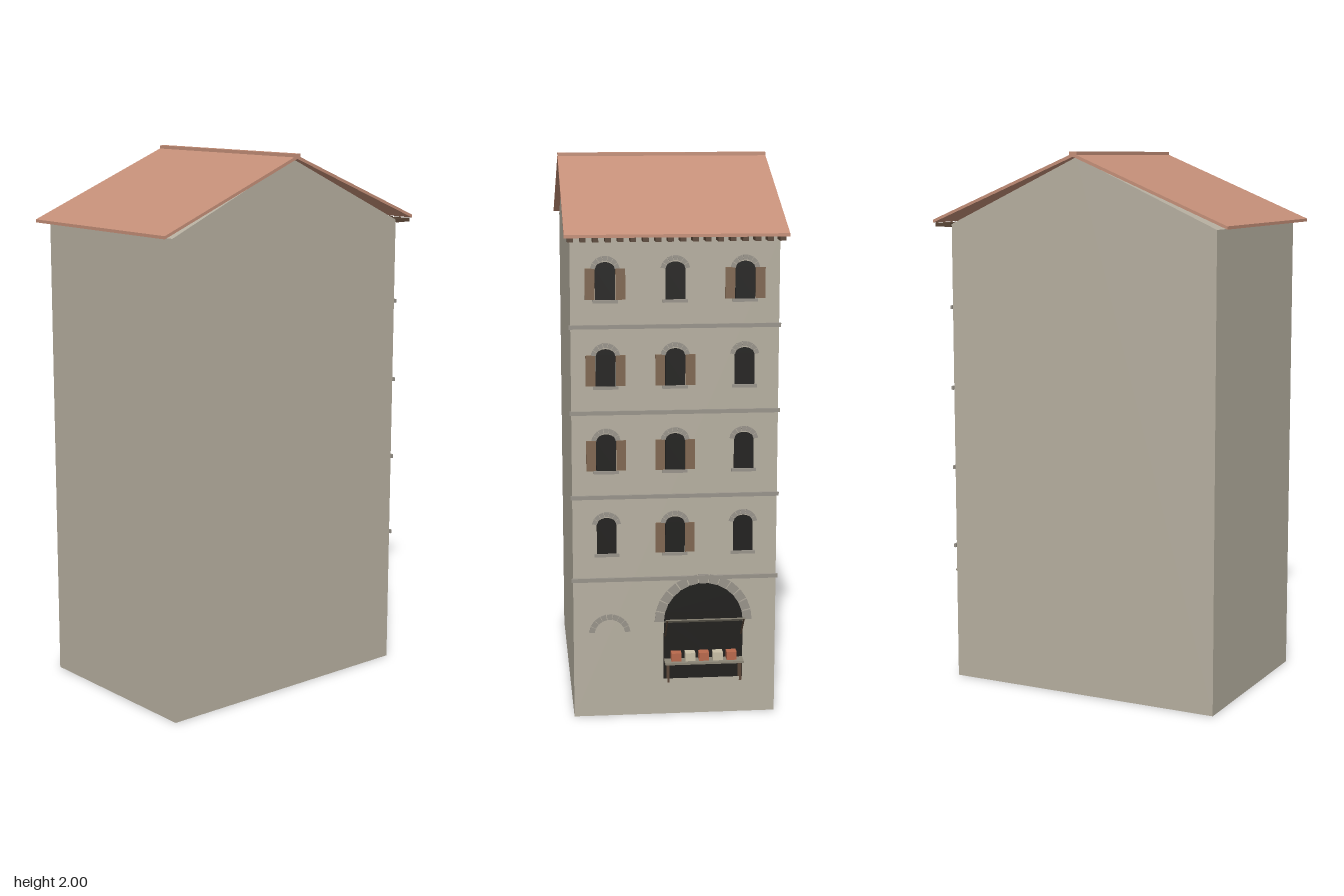
import * as THREE from 'three';

const mat = (name, color, side = THREE.FrontSide) => {
  const m = new THREE.MeshStandardMaterial({ color, side });
  m.name = name;
  return m;
};

export function createModel() {
  const wall = mat('plaster', 0xb6afa0);
  const stone = mat('stone trim', 0x98938a);
  const tile = mat('roof tile', 0xc48f78);
  const dark = mat('dark opening', 0x1f1e1c);
  const wood = mat('shutter wood', 0x7f6650);
  const beam = mat('beam wood', 0x5a4637);
  const board = mat('weathered board', 0x8d8778);
  const goodsRed = mat('terracotta goods', 0xb8694c);
  const goodsPale = mat('pale goods', 0xc9bfa6);

  const model = new THREE.Group();
  model.name = 'townHouse';
  const BACK = -0.515, FRONT = 0.555, HALF = 0.365, RIDGE = 0.008;

  const add = (name, geo, material, x = 0, y = 0, z = 0, parent = model) => {
    const m = new THREE.Mesh(geo, material);
    m.name = name;
    m.position.set(x, y, z);
    parent.add(m);
    return m;
  };
  // box with y as its bottom, standing out of the facade by depth d
  const onFacade = (name, material, x, y, w, h, d, parent) =>
    add(name, new THREE.BoxGeometry(w, h, d), material, x, y + h / 2, BACK - d / 2, parent);
  // flat shape standing out of the facade
  const plate = (name, shape, material, x, y, d, parent) =>
    add(name, new THREE.ExtrudeGeometry(shape, { depth: d, bevelEnabled: false, curveSegments: 12 }),
      material, x, y, BACK - d, parent);
  // prism with a (z, y) outline, running along x
  const prism = (name, pts, x0, x1, material, parent) => {
    const s = new THREE.Shape(pts.map(([z, y]) => new THREE.Vector2(-z, y)));
    const m = add(name, new THREE.ExtrudeGeometry(s, { depth: x1 - x0, bevelEnabled: false }),
      material, x0, 0, 0, parent);
    m.rotation.y = Math.PI / 2;
    return m;
  };
  // ring of separate wedge stones
  const stoneArch = (name, x, y, rIn, rOut, count, d, a0, a1, parent) => {
    const g = new THREE.Group();
    g.name = name;
    parent.add(g);
    const step = (a1 - a0) / count;
    for (let i = 0; i < count; i++) {
      const s = a0 + step * (i + 0.06), e = a0 + step * (i + 0.94);
      const shape = new THREE.Shape([[rIn, s], [rOut, s], [rOut, e], [rIn, e]]
        .map(([r, a]) => new THREE.Vector2(r * Math.cos(a), r * Math.sin(a))));
      plate('archStone', shape, stone, x, y, d, g);
    }
  };
  // opening with a curved head
  const archShape = (hw, h, rise) => {
    const s = new THREE.Shape();
    s.moveTo(-hw, 0);
    s.lineTo(hw, 0);
    s.lineTo(hw, h);
    s.absellipse(0, h, hw, rise, 0, Math.PI, false);
    s.lineTo(-hw, 0);
    return s;
  };

  // gabled body
  prism('walls', [[FRONT, 0], [BACK, 0], [BACK, 1.735], [RIDGE, 1.98], [FRONT, 1.735]], -HALF, HALF, wall);

  // roof slopes and ridge cap
  for (const [name, z, y] of [['frontRoofSlope', 0.603, 1.738], ['backRoofSlope', -0.582, 1.74]]) {
    prism(name, [[RIDGE, 1.982], [z, y], [z, y + 0.011], [RIDGE, 1.994]], -0.388, 0.386, tile);
  }
  add('ridgeCap', new THREE.BoxGeometry(0.774, 0.016, 0.03), tile, -0.001, 1.992, RIDGE);

  // rafter ends below the back eave
  const rafters = new THREE.Group();
  rafters.name = 'rafterEnds';
  model.add(rafters);
  for (let i = 0; i < 18; i++) {
    onFacade('rafterEnd', beam, -0.365 + i * 0.73 / 17, 1.725, 0.02, 0.014, 0.064, rafters);
  }

  // string courses
  for (let i = 0; i < 4; i++) {
    onFacade('stringCourse', stone, 0, 0.507 + i * 0.304, 0.742, 0.014, 0.008);
  }

  // windows; 1 marks a pair of open shutters, columns run from +x to -x
  const shutters = [[0, 1, 0], [1, 1, 0], [1, 1, 0], [1, 0, 1]];
  shutters.forEach((row, floor) => row.forEach((open, col) => {
    const g = new THREE.Group();
    g.name = 'window';
    model.add(g);
    const x = (1 - col) * 0.244, y = 0.6 + floor * 0.303;
    onFacade('sill', stone, x, y, 0.088, 0.011, 0.009, g);
    plate('windowOpening', archShape(0.035, 0.105, 0.026), dark, x, y + 0.011, 0.003, g);
    stoneArch('windowArch', x, y + 0.112, 0.035, 0.052, 7, 0.005, 0.15, Math.PI - 0.15, g);
    if (open) for (const s of [-1, 1]) {
      onFacade('shutter', wood, x + s * 0.053, y + 0.012, 0.034, 0.108, 0.007, g);
    }
  }));

  // blind arch on the ground floor
  stoneArch('blindArch', 0.235, 0.31, 0.055, 0.075, 9, 0.005, 0.1, Math.PI - 0.1, model);

  // shop opening
  const shop = new THREE.Group();
  shop.name = 'shop';
  model.add(shop);
  const SX = -0.103;
  plate('shopOpening', archShape(0.143, 0.215, 0.143), dark, SX, 0.135, 0.003, shop);
  stoneArch('shopArch', SX, 0.35, 0.143, 0.176, 13, 0.006, 0, Math.PI, shop);

  // raised flap with struts
  prism('shopFlap', [[BACK, 0.345], [-0.598, 0.38], [-0.598, 0.385], [BACK, 0.35]], -0.245, 0.039, board, shop);
  for (const x of [-0.243, 0.032]) {
    prism('flapStrut', [[BACK, 0.292], [-0.596, 0.379], [-0.596, 0.383], [BACK, 0.297]], x, x + 0.005, beam, shop);
  }

  // counter, legs and goods
  onFacade('counterTop', board, SX, 0.203, 0.284, 0.008, 0.053, shop);
  for (const x of [-0.13, 0.13]) for (const z of [0.005, 0.045]) {
    add('counterLeg', new THREE.BoxGeometry(0.008, 0.066, 0.008), beam, SX + x, 0.17, BACK - z, shop);
  }
  for (let i = 0; i < 5; i++) {
    add('goodsBox', new THREE.BoxGeometry(0.036, 0.03, 0.034), i % 2 ? goodsPale : goodsRed,
      SX + (i - 2) * 0.05, 0.226, BACK - 0.021, shop);
  }

  return model;
}
